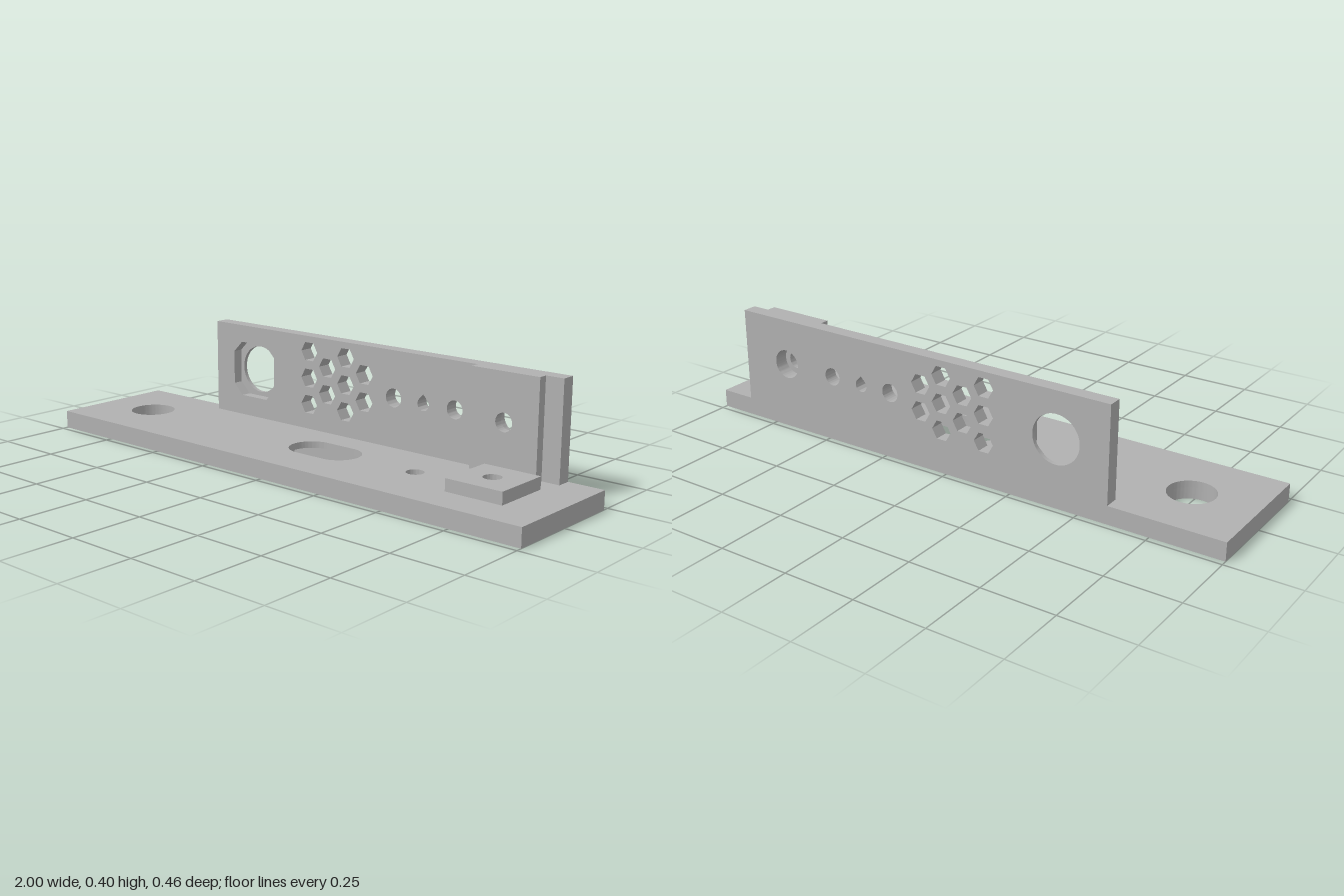
import * as THREE from 'three';
import { toCreasedNormals } from 'three/addons/utils/BufferGeometryUtils.js';

const polygon = (points) => new THREE.Path(points.map(([x, y]) => new THREE.Vector2(x, y)));
const circle = (x, y, r) => new THREE.Path().absarc(x, y, r, 0, Math.PI * 2, true);
const rect = (x0, x1, y0, y1) => polygon([[x0, y0], [x1, y0], [x1, y1], [x0, y1]]);

// Regular hexagon with flat top and bottom
const hexagon = (x, y, r) => polygon(Array.from({ length: 6 }, (_, i) =>
  [x + r * Math.cos(i * Math.PI / 3), y + r * Math.sin(i * Math.PI / 3)]));

// Square with clipped corners
function clippedSquare(x, y, h, c) {
  const k = h - c;
  return polygon([[h, -k], [h, k], [k, h], [-k, h], [-h, k], [-h, -k], [-k, -h], [k, -h]]
    .map(([a, b]) => [x + a, y + b]));
}

// Slot with round ends along x
function slot(x0, x1, r) {
  const p = new THREE.Path();
  p.absarc(x1 - r, 0, r, -Math.PI / 2, Math.PI / 2, false);
  p.absarc(x0 + r, 0, r, Math.PI / 2, Math.PI * 1.5, false);
  p.closePath();
  return p;
}

// Round hole rising to a point
function teardrop(x, y, r) {
  const p = new THREE.Path();
  p.absarc(x, y, r, Math.PI * 0.75, Math.PI * 2.25, false);
  p.lineTo(x, y + r * Math.SQRT2);
  p.closePath();
  return p;
}

export function createModel() {
  const model = new THREE.Group();
  model.name = 'mountingBracket';
  const grey = new THREE.MeshStandardMaterial({ color: 0xb0b0b0 });
  grey.name = 'plain grey';

  function panel(name, [x0, x1, y0, y1], holes, depth) {
    const shape = new THREE.Shape(rect(x0, x1, y0, y1).getPoints());
    shape.holes.push(...holes);
    const geometry = new THREE.ExtrudeGeometry(shape, { depth, bevelEnabled: false, curveSegments: 40 });
    const mesh = new THREE.Mesh(toCreasedNormals(geometry, 0.5), grey);
    mesh.name = name;
    model.add(mesh);
    return mesh;
  }
  const upright = (name, box, holes, z0, z1) => {
    panel(name, box, holes, z1 - z0).position.z = z0;
  };
  const flat = (name, box, holes, y0, y1) => {
    const mesh = panel(name, box, holes, y1 - y0);
    mesh.rotation.x = -Math.PI / 2;
    mesh.position.y = y0;
  };

  // Base plate in two layers: rectangular pocket below, round-ended slot above
  const base = [-1, 1, -0.229, 0.229];
  const baseHoles = () => [circle(-0.774, 0, 0.08), circle(0.457, 0, 0.03), circle(0.747, 0, 0.03)];
  flat('baseLower', base, [...baseHoles(), rect(-0.13, 0.292, -0.079, 0.079)], 0, 0.04);
  flat('baseUpper', base, [...baseHoles(), slot(-0.056, 0.218, 0.079)], 0.04, 0.063);

  // Raised square boss
  flat('boss', [0.647, 0.852, -0.104, 0.104], [circle(0.747, 0, 0.03)], 0.063, 0.105);

  // Holes through the whole wall, including the honeycomb vent
  const wall = [-0.605, 0.872, 0.063, 0.397];
  function wallHoles() {
    const holes = [circle(0.227, 0.235, 0.032), teardrop(0.35, 0.233, 0.023),
      circle(0.476, 0.235, 0.031), circle(0.684, 0.235, 0.051)];
    for (let column = 0; column < 4; column++) {
      const rows = column % 2 ? [0.295, 0.2] : [0.342, 0.247, 0.152];
      for (const y of rows) holes.push(hexagon(-0.149 + column * 0.083, y, 0.037));
    }
    return holes;
  }
  // Wall in two layers: round window at the back, clipped recess in front
  upright('wallBack', wall, [...wallHoles(), circle(-0.418, 0.235, 0.085)], -0.229, -0.215);
  upright('wallFront', wall, [...wallHoles(), clippedSquare(-0.418, 0.235, 0.1, 0.04)], -0.215, -0.179);

  // Thickened pad closing the counterbore
  upright('wallPad', [0.56, 0.808, 0.063, 0.397], [circle(0.684, 0.235, 0.031)], -0.179, -0.147);
  return model;
}
